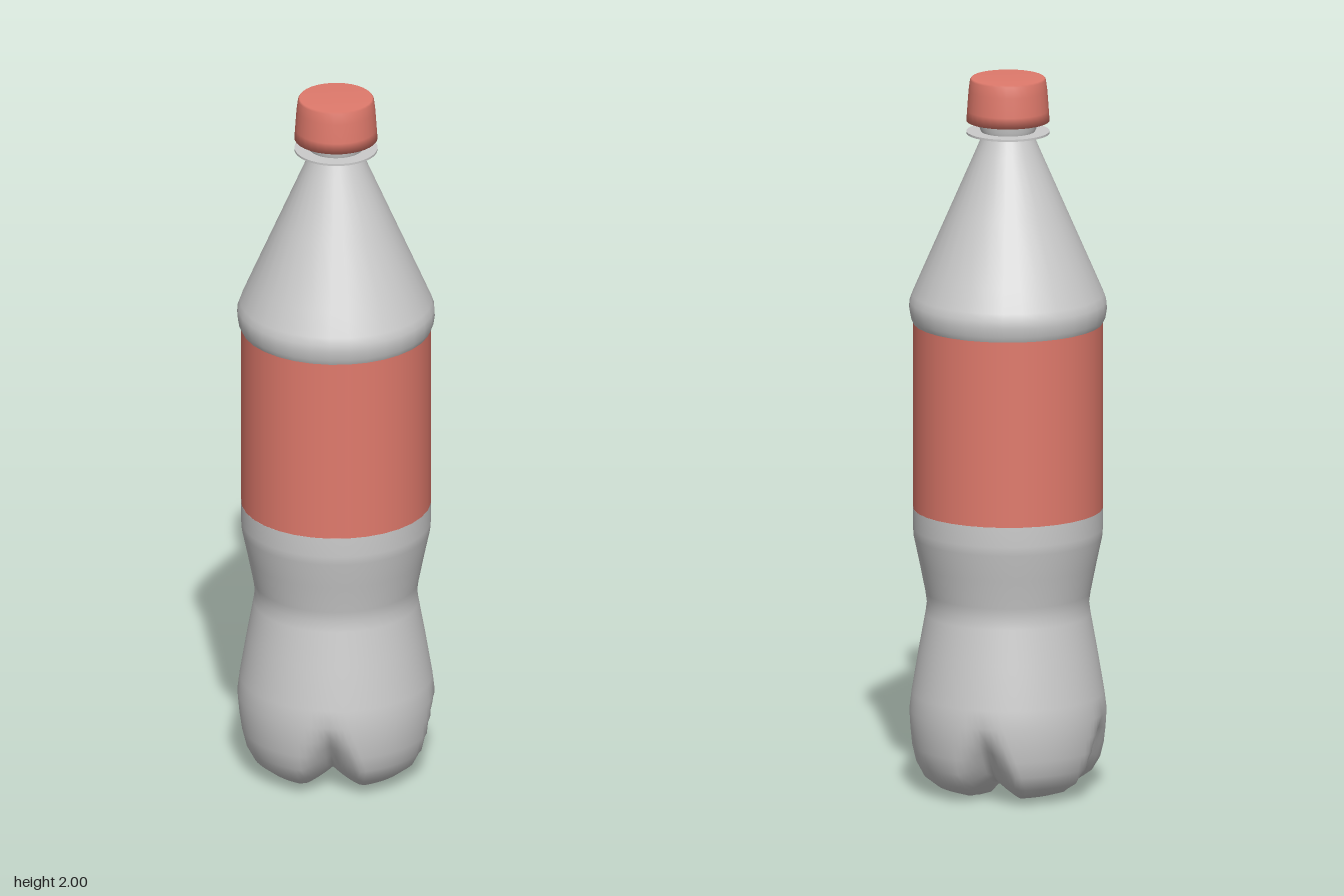
import * as THREE from 'three';

const grey = new THREE.MeshStandardMaterial({ color: 0xcccccc, side: THREE.DoubleSide });
const red = new THREE.MeshStandardMaterial({ color: 0xe07a6c, side: THREE.DoubleSide });

// Surface of revolution from [radius, y] pairs, listed bottom to top
function lathe(name, profile, material, segments = 32) {
  const pts = profile.map(([r, y]) => new THREE.Vector2(r, y));
  const mesh = new THREE.Mesh(new THREE.LatheGeometry(pts, segments), material);
  mesh.name = name;
  return mesh;
}

// Lower body: each row blends from the foot outline to the groove outline
// [foot r, foot y, groove r, groove y, groove half-width in radians]
const rows = [
  [0, 0.04, 0, 0.04, 0.6],
  [0.035, 0.025, 0.03, 0.042, 0.6],
  [0.065, 0.005, 0.06, 0.045, 0.55],
  [0.11, 0.006, 0.10, 0.05, 0.5],
  [0.16, 0.012, 0.135, 0.06, 0.45],
  [0.20, 0.025, 0.16, 0.075, 0.42],
  [0.232, 0.05, 0.18, 0.095, 0.38],
  [0.253, 0.09, 0.205, 0.125, 0.33],
  [0.263, 0.135, 0.23, 0.16, 0.27],
  [0.267, 0.18, 0.252, 0.19, 0.2],
  [0.27, 0.23, 0.27, 0.23, 0.1],
  [0.264, 0.28, 0.264, 0.28, 0.1],
  [0.244, 0.4, 0.244, 0.4, 0.1],
  [0.226, 0.5, 0.226, 0.5, 0.1],
  [0.222, 0.53, 0.222, 0.53, 0.1],
  [0.226, 0.56, 0.226, 0.56, 0.1],
  [0.242, 0.64, 0.242, 0.64, 0.1],
  [0.258, 0.715, 0.258, 0.715, 0.1],
  [0.26, 0.74, 0.26, 0.74, 0.1],
  [0.26, 0.795, 0.26, 0.795, 0.1],
];

function lowerBody() {
  const n = 96, pos = [], index = [];
  rows.forEach(([fr, fy, gr, gy, w], j) => {
    for (let i = 0; i < n; i++) {
      const a = (i / n) * Math.PI * 2;
      // angle to the nearest diagonal, where the four grooves run
      const off = Math.abs((a % (Math.PI / 2)) - Math.PI / 4);
      const g = Math.max(0, 1 - off / w);
      const r = THREE.MathUtils.lerp(fr, gr, g);
      pos.push(r * Math.sin(a), THREE.MathUtils.lerp(fy, gy, g), r * Math.cos(a));
      if (j < rows.length - 1) {
        const p = j * n + i, q = j * n + (i + 1) % n;
        if (j > 0) index.push(p, q, p + n);
        index.push(q, q + n, p + n);
      }
    }
  });
  const geo = new THREE.BufferGeometry();
  geo.setAttribute('position', new THREE.Float32BufferAttribute(pos, 3));
  geo.setIndex(index);
  geo.computeVertexNormals();
  const mesh = new THREE.Mesh(geo, grey);
  mesh.name = 'lowerBodyWithFeet';
  return mesh;
}

export function createModel() {
  const bottle = new THREE.Group();
  bottle.name = 'bottle';

  bottle.add(lowerBody());
  bottle.add(lathe('label', [[0.26, 0.795], [0.26, 1.315]], red));

  // Rounded shoulder and conical upper body
  bottle.add(lathe('shoulder', [
    [0.26, 1.315], [0.267, 1.33], [0.271, 1.355], [0.27, 1.375], [0.263, 1.395],
    [0.235, 1.46], [0.16, 1.632], [0.09, 1.793], [0.07, 1.84],
  ], grey));

  // Neck with its thin carrying ring
  bottle.add(lathe('neck', [[0.07, 1.84], [0.078, 1.86], [0.08, 1.89]], grey));
  const ring = new THREE.Mesh(new THREE.CylinderGeometry(0.114, 0.114, 0.006, 32), grey);
  ring.name = 'neckRing';
  ring.position.y = 1.848;
  bottle.add(ring);

  // Tapered screw cap, open underneath around the neck
  bottle.add(lathe('cap', [
    [0.08, 1.88], [0.114, 1.88], [0.112, 1.91], [0.108, 1.965], [0.104, 1.995], [0.1, 2], [0, 2],
  ], red));

  return bottle;
}
